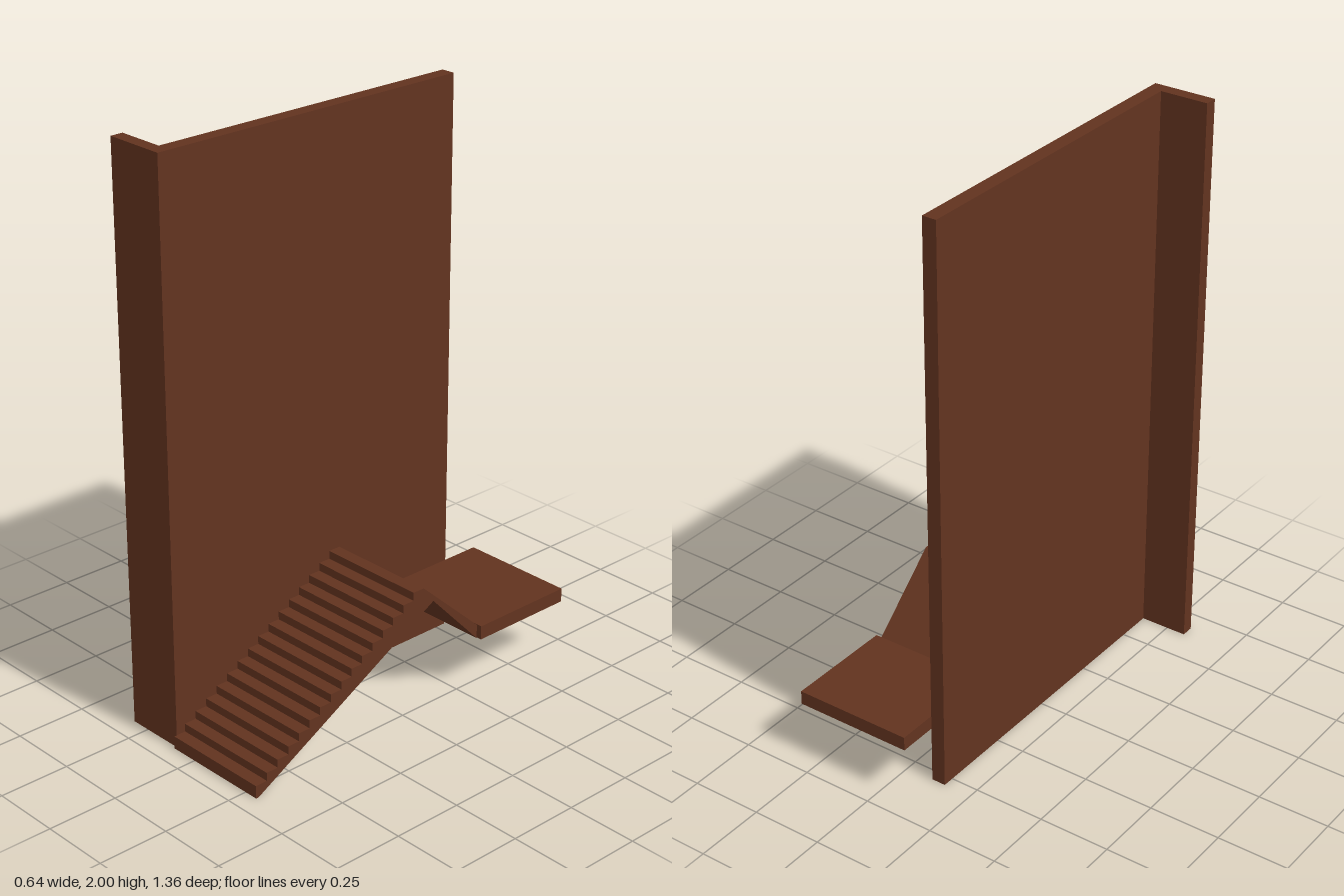
import * as THREE from 'three';

const material = new THREE.MeshStandardMaterial({ color: 0x62331f, flatShading: true });

// Box given by its minimum and maximum corners
function block(name, [x0, y0, z0], [x1, y1, z1]) {
  const mesh = new THREE.Mesh(new THREE.BoxGeometry(x1 - x0, y1 - y0, z1 - z0), material);
  mesh.position.set((x0 + x1) / 2, (y0 + y1) / 2, (z0 + z1) / 2);
  mesh.name = name;
  return mesh;
}

// Staircase and ramp share one side profile, drawn as (z, y) and extruded across x
function stairsAndRamp() {
  const steps = 16, tread = 0.045, firstRise = 0.045, rise = 0.0288;
  const shape = new THREE.Shape();
  shape.moveTo(0.68, 0);
  for (let i = 0; i < steps; i++) {
    const y = firstRise + i * rise;
    shape.lineTo(0.68 - i * tread, y);
    shape.lineTo(0.68 - (i + 1) * tread, y);
  }
  shape.lineTo(-0.29, 0.25); // ramp down to the landing
  shape.lineTo(-0.29, 0.2);
  shape.lineTo(-0.085, 0.415); // underside ridge
  shape.lineTo(0.67, 0);
  shape.closePath();
  const geometry = new THREE.ExtrudeGeometry(shape, { depth: 0.4, bevelEnabled: false });
  geometry.rotateY(-Math.PI / 2).translate(0.3, 0, 0);
  const mesh = new THREE.Mesh(geometry, material);
  mesh.name = 'stairsAndRamp';
  return mesh;
}

export function createModel() {
  const model = new THREE.Group();
  model.name = 'wallWithStairs';
  model.add(
    block('sideWall', [-0.15, 0, -0.54], [-0.1, 2, 0.625]),
    block('frontWall', [-0.32, 0, 0.625], [-0.1, 2, 0.67]),
    block('landing', [-0.1, 0.203, -0.68], [0.32, 0.252, -0.29]),
    stairsAndRamp()
  );
  return model;
}
